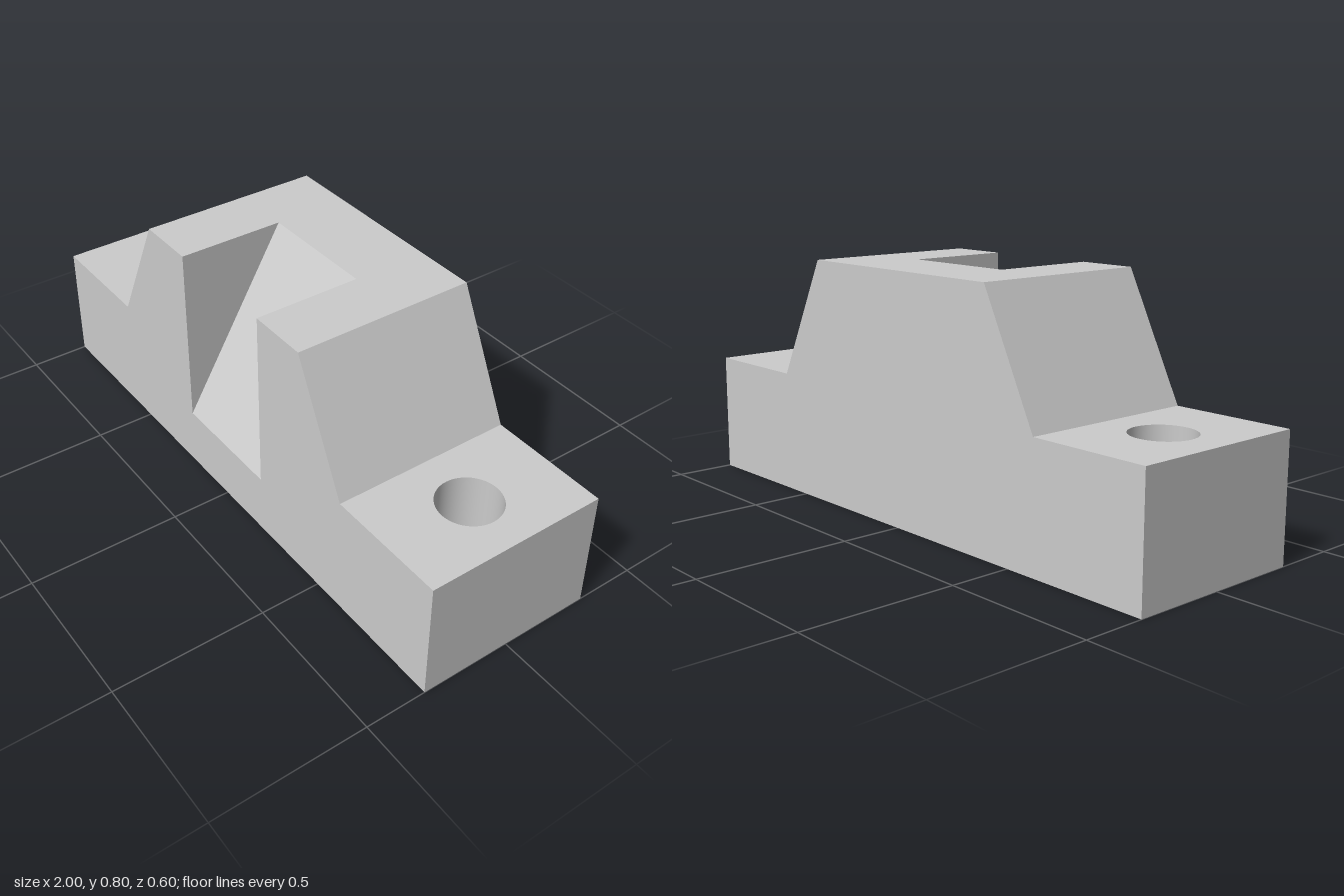
import * as THREE from 'three';
import { mergeGeometries } from 'three/addons/utils/BufferGeometryUtils.js';

const X = [1, 0, 0], Y = [0, 1, 0], Z = [0, 0, 1], NX = [-1, 0, 0], NZ = [0, 0, -1];
const HOLE_X = 0.8, HOLE_R = 0.1;

// Flat panel drawn in the plane of axes u and v, facing u x v, with round holes at the given u positions
function panel(origin, u, v, points, holes = []) {
  const shape = new THREE.Shape(points.map(([a, b]) => new THREE.Vector2(a, b)));
  for (const h of holes) shape.holes.push(new THREE.Path().absarc(h, 0, HOLE_R, 0, Math.PI * 2, true));
  const U = new THREE.Vector3(...u), V = new THREE.Vector3(...v);
  const matrix = new THREE.Matrix4().makeBasis(U, V, U.clone().cross(V)).setPosition(...origin);
  return new THREE.ShapeGeometry(shape, 24).applyMatrix4(matrix);
}

const rect = (a0, a1, b0, b1) => [[a0, b0], [a1, b0], [a1, b1], [a0, b1]];

export function createModel() {
  const group = new THREE.Group();
  group.name = 'mountingBlock';

  // Side outline of the raised block on its base
  const left = [[-1, 0.4], [-1, 0]], right = [[1, 0], [1, 0.4], [0.6, 0.4], [0.4, 0.8]];
  const back = [...left, ...right, [-0.4, 0.8], [-0.6, 0.4]];
  const slot = [[0.2, 0.8], [0.2, 0.2], [-0.2, 0.2], [-0.2, 0.8]];
  const front = [...left, ...right, ...slot, [-0.4, 0.8], [-0.6, 0.4]];

  const panels = [
    panel([0, 0, 0.3], X, Y, front),
    panel([0, 0, -0.3], NX, Y, back),
    panel([0, 0, 0], X, Z, rect(-1, 1, -0.3, 0.3), [-HOLE_X, HOLE_X]),
    // Top, notched by the slot
    panel([0, 0.8, 0], X, NZ, [[-0.4, -0.3], [-0.2, -0.3], [-0.2, 0.05], [0.2, 0.05],
      [0.2, -0.3], [0.4, -0.3], [0.4, 0.3], [-0.4, 0.3]]),
    // Sloping slot floor
    panel([0, 0.2, 0.3], X, [0, 0.6, -0.35], rect(-0.2, 0.2, 0, 1)),
  ];

  // Mirrored ends, lug tops, flanks and slot walls
  for (const s of [-1, 1]) {
    const out = [0, 0, -s], inward = [0, 0, s];
    panels.push(
      panel([s, 0, 0], out, Y, rect(-0.3, 0.3, 0, 0.4)),
      panel([0, 0.4, 0], X, NZ, rect(s * 0.6, s, -0.3, 0.3), [s * HOLE_X]),
      panel([s * 0.6, 0.4, 0], out, [-s * 0.2, 0.4, 0], rect(-0.3, 0.3, 0, 1)),
      panel([s * 0.2, 0, 0], inward, Y, [[s * 0.3, 0.2], [s * 0.3, 0.8], [-s * 0.05, 0.8]]),
    );
  }
  const body = new THREE.Mesh(mergeGeometries(panels), new THREE.MeshStandardMaterial({ color: 0xcccccc }));
  body.name = 'slottedBody';
  group.add(body);

  // Smooth bores of the bolt holes, seen from inside
  const bore = new THREE.CylinderGeometry(HOLE_R, HOLE_R, 0.4, 48, 1, true);
  const boreMaterial = new THREE.MeshStandardMaterial({ color: 0xcccccc, side: THREE.BackSide });
  for (const s of [-1, 1]) {
    const mesh = new THREE.Mesh(bore, boreMaterial);
    mesh.name = s > 0 ? 'leftBoltHole' : 'rightBoltHole';
    mesh.position.set(s * HOLE_X, 0.2, 0);
    group.add(mesh);
  }
  return group;
}
